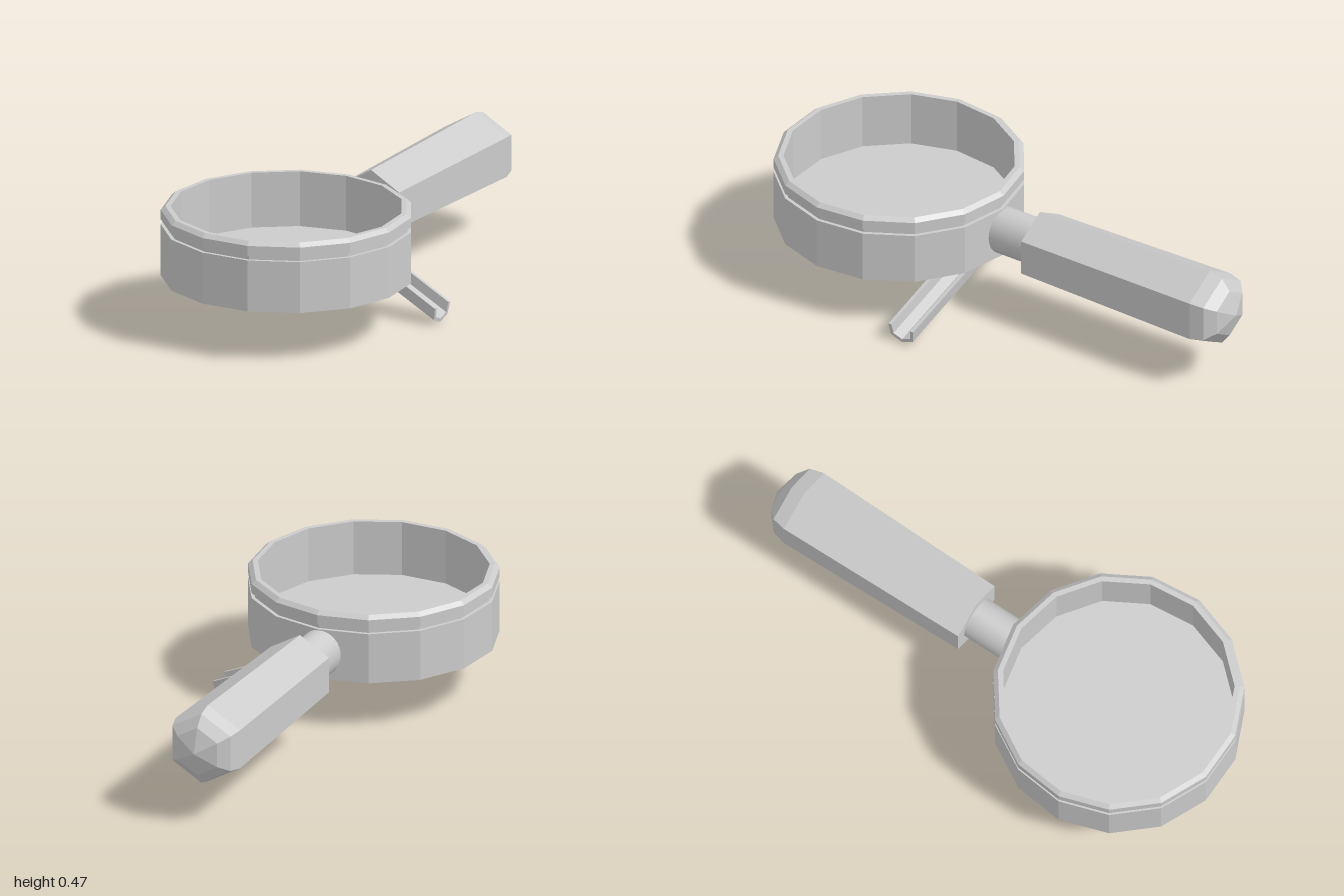
import * as THREE from 'three';

const pts = (list) => list.map(([x, y]) => new THREE.Vector2(x, y));

export function createModel() {
  const group = new THREE.Group();
  const flat = new THREE.MeshStandardMaterial({ color: 0xcccccc, flatShading: true });
  const smooth = new THREE.MeshStandardMaterial({ color: 0xcccccc });
  const add = (name, geometry, material) => {
    const mesh = new THREE.Mesh(geometry, material);
    mesh.name = name;
    group.add(mesh);
    return mesh;
  };

  // Fifteen-sided basket with a groove, chamfered rim and recessed floor
  const basket = new THREE.LatheGeometry(pts([
    [0, 0.205], [0.474, 0.205], [0.474, 0.405], [0.46, 0.405], [0.46, 0.425],
    [0.474, 0.425], [0.474, 0.462], [0.457, 0.477], [0.437, 0.477],
    [0.437, 0.262], [0, 0.262],
  ]), 15, Math.PI);
  add('basket', basket, flat).position.set(-0.003, 0, 0.536);

  // Round neck, slightly taller than wide
  const neck = new THREE.CylinderGeometry(1, 1, 0.2, 32, 1);
  neck.scale(0.081, 1, 0.093).rotateX(-Math.PI / 2);
  add('neck', neck, smooth).position.set(-0.01, 0.308, -0.01);

  // Hexagonal grip, widening to a domed end
  const grip = new THREE.LatheGeometry(pts([
    [0, 0.1], [0.14, 0.1], [0.155, 0.88], [0.14, 0.935], [0.096, 0.97], [0, 1],
  ]), 6);
  grip.rotateX(-Math.PI / 2);
  add('handle', grip, flat).position.set(-0.01, 0.305, 0);

  // Open spout channel: extruded section, sloped up until it meets the basket base
  const section = new THREE.Shape(pts([
    [-0.057, 0.068], [-0.05, 0.02], [0, 0], [0.05, 0.02], [0.057, 0.068],
    [0.043, 0.068], [0.038, 0.029], [0, 0.014], [-0.038, 0.029], [-0.043, 0.068],
  ]));
  const spout = new THREE.ExtrudeGeometry(section, { depth: 1, bevelEnabled: false });
  const p = spout.attributes.position;
  const slope = 0.46;
  for (let i = 0; i < p.count; i++) {
    const a = p.getX(i), b = p.getY(i);
    const y = 0.004 + b;
    const run = p.getZ(i) > 0.5 ? (0.215 - y) / slope : 0;
    p.setXYZ(i, 0.462 + 0.16 * b - run, y + run * slope, 0.197 + a - 0.13 * run);
  }
  add('spout', spout, flat);

  return group;
}
